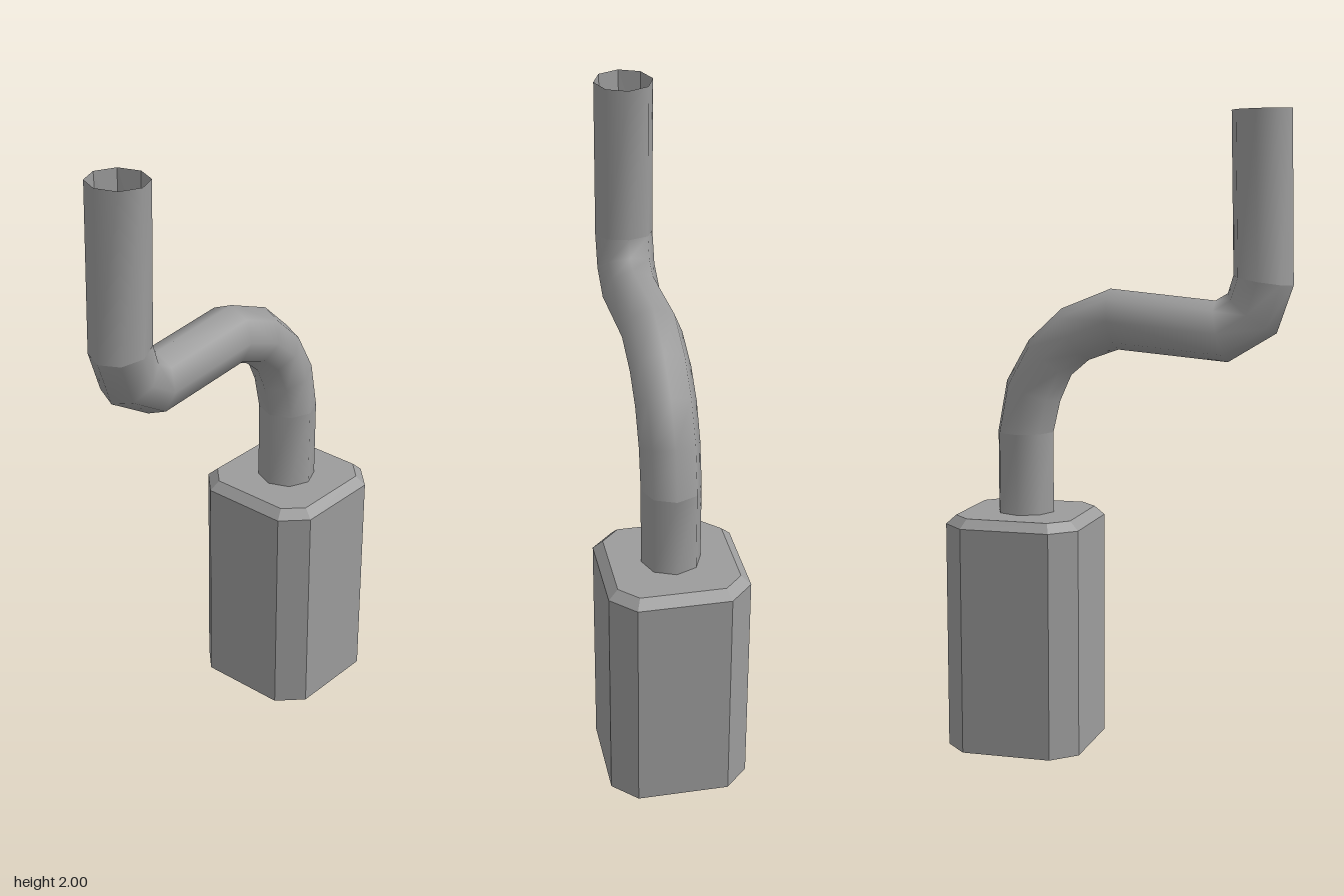
import * as THREE from 'three';

// Skin a list of equal-length closed rings of points into an open surface
function loft(rings) {
  const n = rings[0].length;
  const index = [];
  for (let i = 0; i < rings.length - 1; i++) {
    for (let j = 0; j < n; j++) {
      const k = (j + 1) % n;
      const a = i * n + j, b = i * n + k, c = a + n, d = b + n;
      index.push(a, c, b, b, c, d);
    }
  }
  const geometry = new THREE.BufferGeometry().setFromPoints(rings.flat());
  geometry.setIndex(index);
  geometry.computeVertexNormals();
  return geometry;
}

// Square with cut corners: half = half width, flat = half length of each side
function cutSquare(half, flat) {
  return [
    [half, -flat], [half, flat], [flat, half], [-flat, half],
    [-half, flat], [-half, -flat], [-flat, -half], [flat, -half],
  ];
}

// Eight-sided pipe ring spanning two opposite outline points
function pipeRing([x1, y1, x2, y2], radius = 0.0925) {
  return Array.from({ length: 8 }, (_, j) => {
    const angle = (j / 8) * Math.PI * 2;
    const t = Math.cos(angle) / 2;
    return new THREE.Vector3(
      (x1 + x2) / 2 + (x1 - x2) * t,
      (y1 + y2) / 2 + (y1 - y2) * t,
      Math.sin(angle) * radius
    );
  });
}

export function createModel() {
  const group = new THREE.Group();
  const color = 0x9c9c9c;
  const smooth = new THREE.MeshStandardMaterial({ color });
  const flat = new THREE.MeshStandardMaterial({ color, side: THREE.DoubleSide, flatShading: true });
  const baseX = 0.3175, baseTop = 0.745;

  const add = (parent, name, geometry, material) => {
    const mesh = new THREE.Mesh(geometry, material);
    mesh.name = name;
    parent.add(mesh);
    return mesh;
  };

  // Base block, open below, with a bevelled top rim
  const base = new THREE.Group();
  base.name = 'base';
  base.position.x = baseX;
  group.add(base);
  const outer = cutSquare(0.217, 0.143);
  const inner = cutSquare(0.1875, 0.131);
  const ring = (points, y) => points.map(([x, z]) => new THREE.Vector3(x, y, z));
  add(base, 'baseWalls', loft([ring(outer, 0), ring(outer, 0.717), ring(inner, baseTop)]), flat);

  // Flat lid inside the rim
  const lidShape = new THREE.Shape(inner.map(([x, z]) => new THREE.Vector2(x, z)));
  add(base, 'baseLid', new THREE.ShapeGeometry(lidShape).rotateX(-Math.PI / 2), flat).position.y = baseTop;

  // Bent pipe, with a crease where each straight end meets the bends
  const rings = [
    [0.408, baseTop, 0.225, baseTop],
    [0.408, 1.0, 0.225, 1.0],
    [0.378, 1.16, 0.202, 1.1],
    [0.304, 1.29, 0.165, 1.183],
    [0.197, 1.39, 0.108, 1.232],
    [0.037, 1.455, 0.012, 1.267],
    [-0.295, 1.425, -0.335, 1.238],
    [-0.333, 1.448, -0.485, 1.33],
    [-0.35, 1.503, -0.535, 1.475],
    [-0.34, 1.995, -0.525, 2.0],
  ].map((joint) => pipeRing(joint));
  const pipe = new THREE.Group();
  pipe.name = 'bentPipe';
  group.add(pipe);
  add(pipe, 'lowerPipe', loft(rings.slice(0, 2)), smooth);
  add(pipe, 'pipeBends', loft(rings.slice(1, 9)), smooth);
  add(pipe, 'upperPipe', loft(rings.slice(8)), smooth);

  // Faceted lining and flat floor inside the open pipe end
  const floorX = -0.429, floorY = 1.8, floorHalf = 0.08, floorRadius = 0.088;
  const floorRing = pipeRing([floorX + floorHalf, floorY, floorX - floorHalf, floorY], floorRadius);
  add(pipe, 'pipeLining', loft([floorRing, rings[9]]), flat);
  const floor = add(pipe, 'pipeFloor', new THREE.CircleGeometry(1, 8).rotateX(-Math.PI / 2), flat);
  floor.position.set(floorX, floorY, 0);
  floor.scale.set(floorHalf, 1, floorRadius);

  return group;
}
